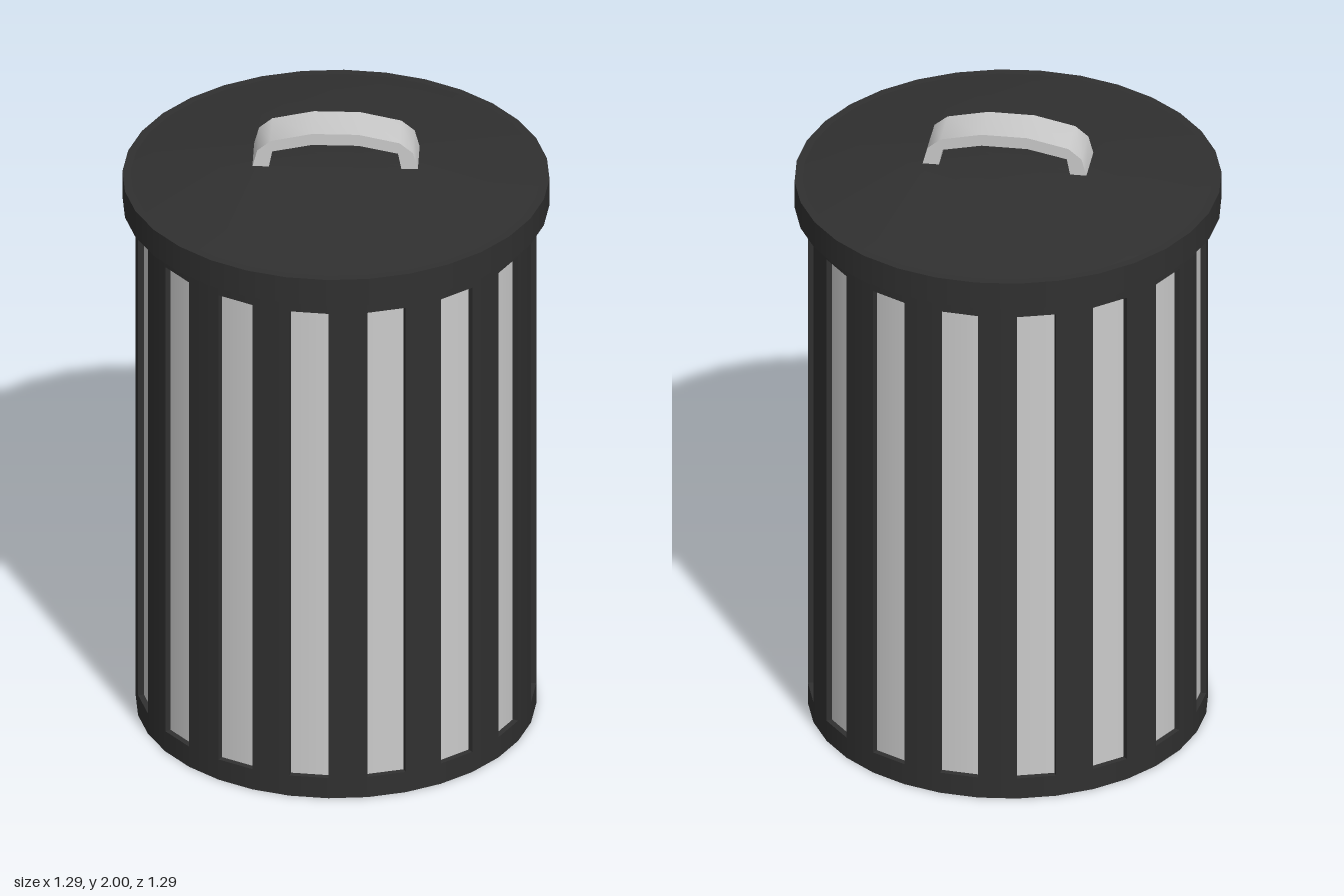
import * as THREE from 'three';
import { mergeGeometries, toCreasedNormals } from 'three/addons/utils/BufferGeometryUtils.js';

const SIDES = 32, STEP = Math.PI * 2 / SIDES;
const R = 0.605, R_SLOT = 0.587, SLOT_LOW = 0.07, SLOT_HIGH = 1.68, BODY_TOP = 1.73;
const LID_R = 0.645, LID_EDGE = 1.82, LID_TOP = 1.885;
const HANDLE_X = 0.25, HANDLE_Z = 0.07;

// One straight profile segment swept around y, by default all the way round
function band(r0, y0, r1, y1, first = 0, count = SIDES) {
  const profile = [new THREE.Vector2(r0, y0), new THREE.Vector2(r1, y1)];
  return new THREE.LatheGeometry(profile, count, first * STEP, count * STEP);
}

// Cone-like top that runs from the round rim to the rectangular handle base
function lidTopGeometry() {
  const pos = [], index = [];
  for (let i = 0; i < SIDES; i++) {
    const x = Math.sin(i * STEP) * 0.62, z = Math.cos(i * STEP) * 0.62;
    pos.push(x, LID_EDGE, z);
    pos.push(THREE.MathUtils.clamp(x, -HANDLE_X, HANDLE_X), LID_TOP, THREE.MathUtils.clamp(z, -HANDLE_Z, HANDLE_Z));
    const a = i * 2, b = ((i + 1) % SIDES) * 2;
    index.push(a, b, b + 1, a, b + 1, a + 1, a + 1, b + 1, SIDES * 2);
  }
  pos.push(0, LID_TOP, 0);
  const g = new THREE.BufferGeometry();
  g.setAttribute('position', new THREE.Float32BufferAttribute(pos, 3));
  g.setIndex(index);
  return toCreasedNormals(g, 0.5);
}

// Bent strap: half of the outline is mirrored to the other side
function handleGeometry() {
  const outer = [[-HANDLE_X, LID_TOP], [-0.235, 1.94], [-0.195, 1.973], [-0.07, 2]];
  const inner = [[-0.07, 1.962], [-0.19, 1.937], [-0.2, LID_TOP]];
  const mirror = pts => pts.map(([x, y]) => [-x, y]).reverse();
  const outline = [...outer, ...mirror(outer), ...mirror(inner), ...inner];
  const shape = new THREE.Shape(outline.map(([x, y]) => new THREE.Vector2(x, y)));
  const g = new THREE.ExtrudeGeometry(shape, { depth: HANDLE_Z * 2, bevelEnabled: false });
  g.translate(0, 0, -HANDLE_Z);
  return toCreasedNormals(g, 0.8);
}

export function createModel() {
  const group = new THREE.Group();
  const dark = new THREE.MeshStandardMaterial({ color: 0x303030, side: THREE.DoubleSide });
  const grey = new THREE.MeshStandardMaterial({ color: 0xcccccc });
  const add = (name, geometry, material) => {
    const mesh = new THREE.Mesh(geometry, material);
    mesh.name = name;
    group.add(mesh);
  };

  // Body: base, two hoops, then alternating ribs and recessed slots
  const body = [
    band(0, 0, R, 0),
    band(R, 0, R, SLOT_LOW),
    band(R, SLOT_HIGH, R, BODY_TOP),
  ];
  const panels = [];
  for (let i = 0; i < SIDES; i++) {
    if (i % 2 === 0) {
      body.push(band(R, SLOT_LOW, R, SLOT_HIGH, i, 1));
    } else {
      panels.push(band(R_SLOT, SLOT_LOW, R_SLOT, SLOT_HIGH, i, 1));
      body.push(band(R, SLOT_LOW, R_SLOT, SLOT_LOW, i, 1));
      body.push(band(R_SLOT, SLOT_HIGH, R, SLOT_HIGH, i, 1));
    }
    // Side wall between rib and slot
    const wall = new THREE.PlaneGeometry(R - R_SLOT, SLOT_HIGH - SLOT_LOW);
    wall.translate((R + R_SLOT) / 2, (SLOT_HIGH + SLOT_LOW) / 2, 0);
    wall.rotateY(i * STEP - Math.PI / 2);
    body.push(wall);
  }
  add('body', mergeGeometries(body), dark);
  add('slotPanels', mergeGeometries(panels), grey);

  // Lid: overhanging rim, sloped top and handle
  add('lidRim', mergeGeometries([
    band(R - 0.01, BODY_TOP, LID_R, BODY_TOP),
    band(LID_R, BODY_TOP, LID_R, LID_EDGE),
    band(LID_R, LID_EDGE, 0.62, LID_EDGE),
  ]), dark);
  add('lidTop', lidTopGeometry(), dark);
  add('handle', handleGeometry(), grey);

  return group;
}
